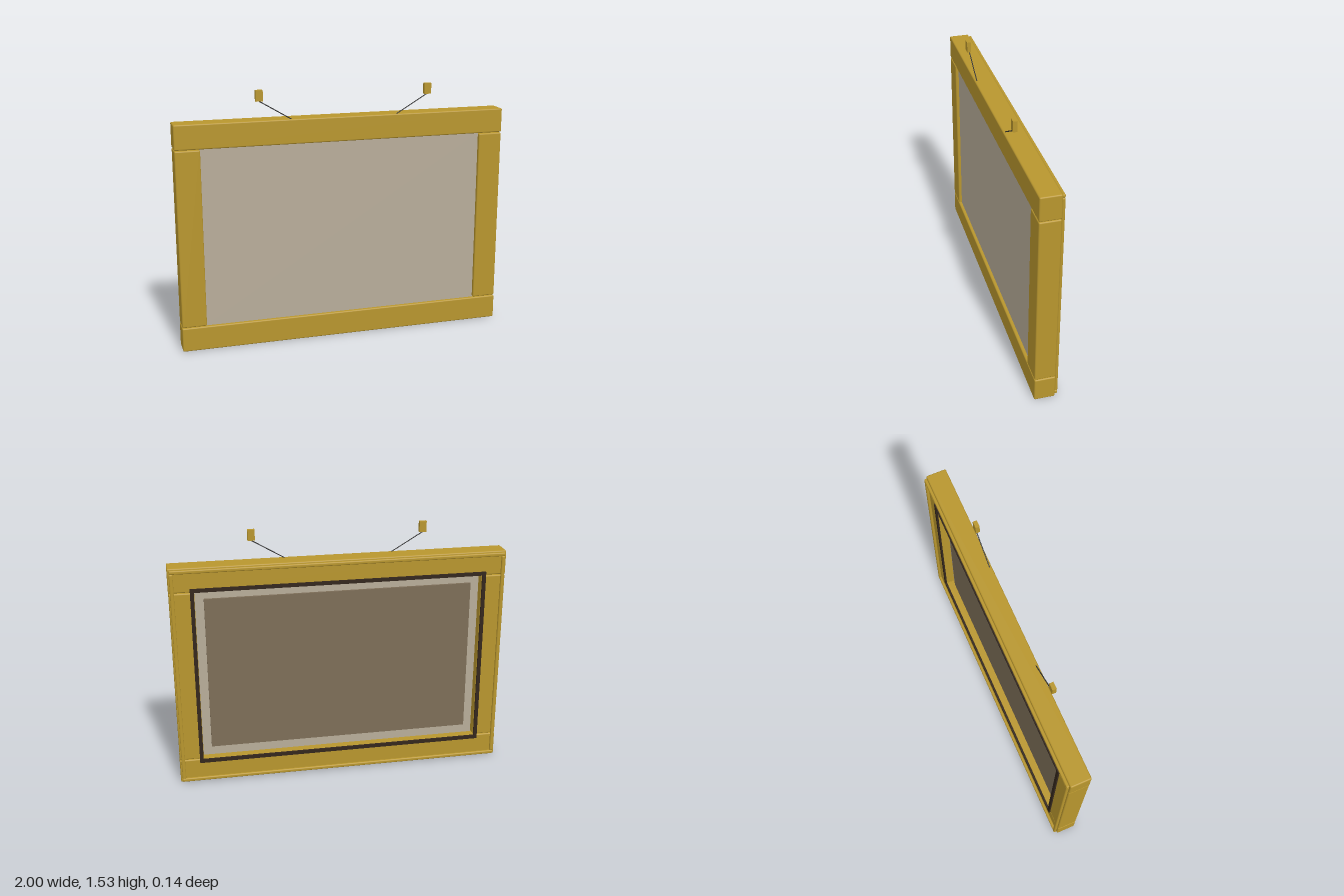
import * as THREE from 'three';
import { RoundedBoxGeometry } from 'three/addons/geometries/RoundedBoxGeometry.js';

const paint = (color) => new THREE.MeshStandardMaterial({ color });

export function createModel() {
  const model = new THREE.Group();
  const wood = paint(0xb8962e);
  const panelPaint = paint(0xb8ad9a);
  const boardPaint = paint(0x7d6e58);
  const dark = paint(0x33261c);
  const wirePaint = paint(0x333333);

  // Box given by its centre and size; r > 0 rounds the edges
  function box(name, material, [x, y, z], [w, h, d], r = 0) {
    const geometry = r ? new RoundedBoxGeometry(w, h, d, 3, r) : new THREE.BoxGeometry(w, h, d);
    const mesh = new THREE.Mesh(geometry, material);
    mesh.name = name;
    mesh.position.set(x, y, z);
    model.add(mesh);
    return mesh;
  }

  const midY = 0.68;

  // Front frame, back edge moulding and dark inner trim, mirrored in pairs
  for (const s of [-1, 1]) {
    const side = s > 0 ? 'left' : 'right';
    const level = s > 0 ? 'top' : 'bottom';

    box(level + 'Rail', wood, [0, midY + s * 0.607, 0.009], [2, 0.146, 0.122], 0.008);
    box(side + 'Stile', wood, [s * 0.926, midY, 0.009], [0.146, 1.06, 0.122], 0.008);

    box(level + 'BackMoulding', wood, [0, midY + s * 0.661, -0.061], [1.98, 0.022, 0.018], 0.007);
    box(side + 'BackMoulding', wood, [s * 0.979, midY, -0.061], [0.022, 1.3, 0.018], 0.007);

    box(level + 'InnerTrim', dark, [0, midY + s * 0.545, -0.055], [1.756, 0.022, 0.012]);
    box(side + 'InnerTrim', dark, [s * 0.867, midY, -0.055], [0.022, 1.07, 0.012]);
  }

  // Picture panel and the raised backing board behind it
  box('picturePanel', panelPaint, [0, midY, 0.026], [1.71, 1.07, 0.048]);
  box('backingBoard', boardPaint, [0, midY, -0.004], [1.6, 0.95, 0.016]);

  // Hanging wires running out of the top rail to the wall blocks
  for (const s of [-1, 1]) {
    const side = s > 0 ? 'left' : 'right';
    box(side + 'WallBlock', wood, [s * 0.509, 1.503, 0.061], [0.042, 0.064, 0.024]);

    const path = new THREE.LineCurve3(
      new THREE.Vector3(s * 0.31, 1.353, 0.057),
      new THREE.Vector3(s * 0.51, 1.472, 0.057)
    );
    const wire = new THREE.Mesh(new THREE.TubeGeometry(path, 1, 0.003, 8), wirePaint);
    wire.name = side + 'Wire';
    model.add(wire);
  }

  return model;
}
